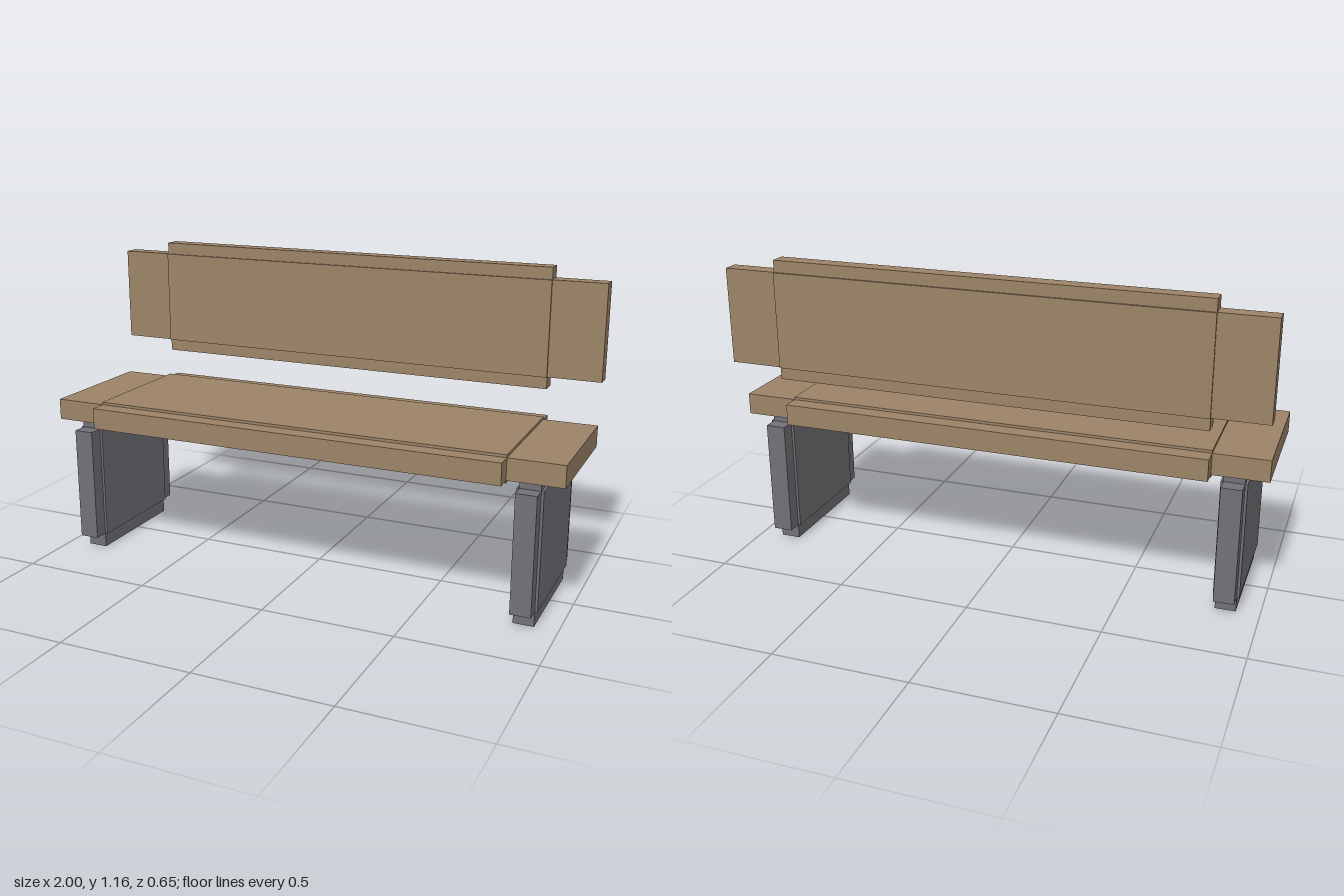
import * as THREE from 'three';

// Stepped panel: three crossing boxes, each reaching the full size along one
// axis and the inner size along the other two.
function steppedPanel(name, material, outer, inner, position) {
  const group = new THREE.Group();
  group.name = name;
  ['Length', 'Height', 'Depth'].forEach((label, axis) => {
    const size = inner.map((v, i) => (i === axis ? outer[i] : v));
    const mesh = new THREE.Mesh(new THREE.BoxGeometry(...size), material);
    mesh.name = name + label;
    group.add(mesh);
  });
  group.position.set(...position);
  return group;
}

export function createModel() {
  const wood = new THREE.MeshStandardMaterial({ color: 0x9c8367 });
  wood.name = 'wood';
  const metal = new THREE.MeshStandardMaterial({ color: 0x727177 });
  metal.name = 'grey metal';

  const bench = new THREE.Group();
  bench.name = 'bench';

  // Seat and floating backrest
  bench.add(steppedPanel('seat', wood, [2, 0.1, 0.625], [1.6, 0.08, 0.5], [0, 0.565, 0.014]));
  bench.add(steppedPanel('backrest', wood, [2, 0.45, 0.075], [1.6, 0.36, 0.06], [0, 0.94, -0.287]));

  // Slab legs, tops set into the seat
  for (const side of [1, -1]) {
    const name = side > 0 ? 'leftLeg' : 'rightLeg';
    bench.add(steppedPanel(name, metal, [0.094, 0.55, 0.552], [0.075, 0.438, 0.442], [side * 0.877, 0.277, 0.014]));
  }
  // Rest the legs on the ground
  bench.children.forEach((part) => { if (part.name.endsWith('Leg')) part.position.y = 0.275; });
  return bench;
}
